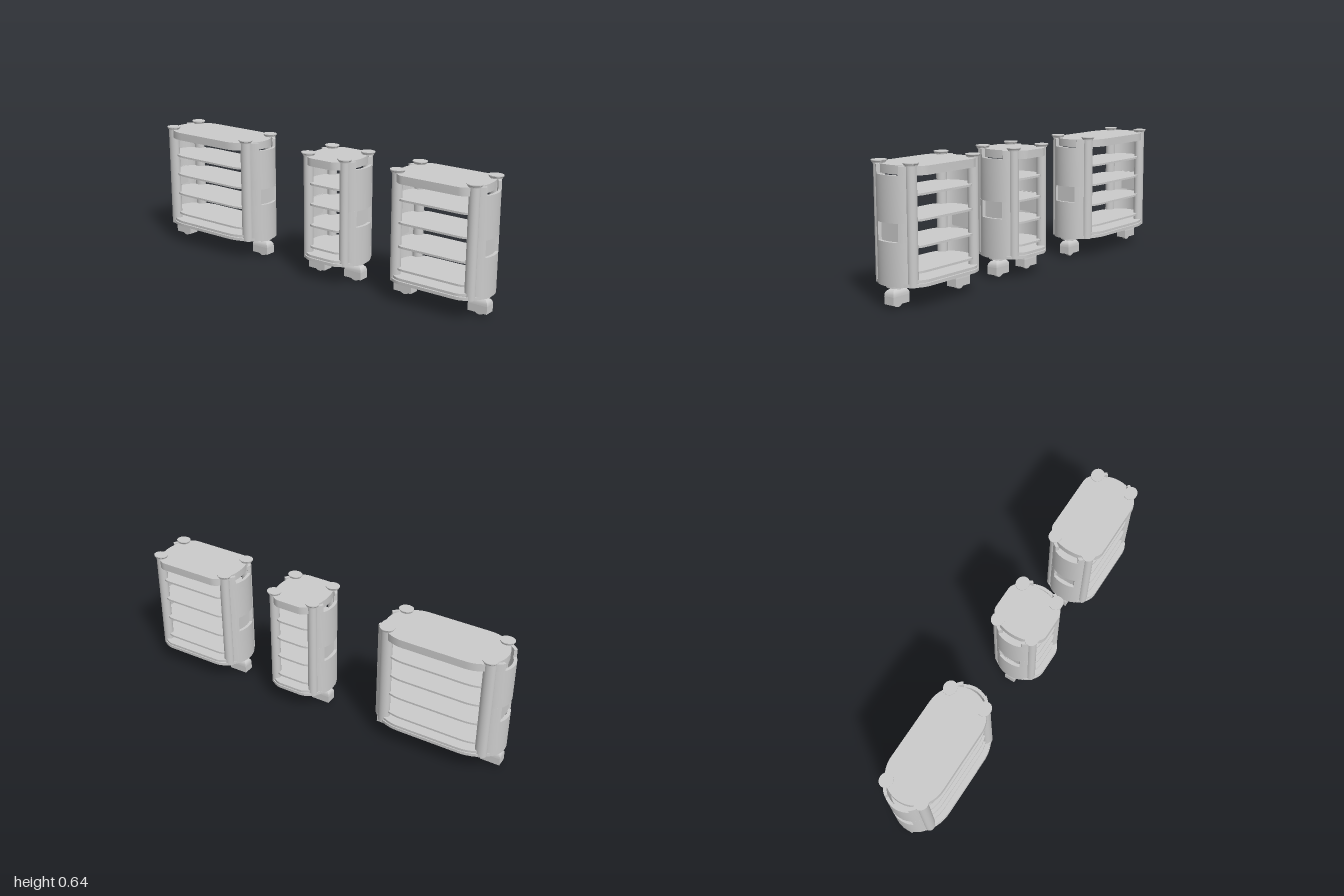
import * as THREE from 'three';
import { toCreasedNormals } from 'three/addons/utils/BufferGeometryUtils.js';

const material = new THREE.MeshStandardMaterial({ color: 0xcccccc });

function add(parent, name, geometry, x = 0, y = 0, z = 0) {
  const mesh = new THREE.Mesh(geometry, material);
  mesh.name = name;
  mesh.position.set(x, y, z);
  parent.add(mesh);
  return mesh;
}

// Extrudes a plan outline upward from y0 to y1
function slab(shape, y0, y1) {
  const g = new THREE.ExtrudeGeometry(shape, { depth: y1 - y0, bevelEnabled: false, curveSegments: 20 });
  g.rotateX(-Math.PI / 2).translate(0, y0, 0);
  return toCreasedNormals(g, 0.5);
}

// Long oval: straight sides with an elliptical end at each side
function ovalShape(straight, endX, halfZ) {
  const points = [];
  for (const end of [0, 1]) {
    for (let i = 0; i <= 24; i++) {
      const t = -Math.PI / 2 + Math.PI * (i / 24 + end);
      points.push(new THREE.Vector2(
        (end ? -straight : straight) + (endX - straight) * Math.cos(t), halfZ * Math.sin(t)));
    }
  }
  return new THREE.Shape(points);
}

// Section of a curved wall, between angles t0 and t1
function wallShape(depth, t0, t1, thick = 0.016) {
  const outer = [], inner = [], n = 16;
  for (let i = 0; i <= n; i++) {
    const t = t0 + (t1 - t0) * i / n;
    outer.push(new THREE.Vector2(depth * Math.cos(t), 0.1 * Math.sin(t)));
    inner.unshift(new THREE.Vector2((depth - thick) * Math.cos(t), (0.1 - thick) * Math.sin(t)));
  }
  return new THREE.Shape([...outer, ...inner]);
}

// Curved end wall with a notch at the top and a recessed grip in the middle
function endPanel(depth) {
  const panel = new THREE.Group();
  panel.name = 'endPanel';
  const q = Math.PI / 2, grip = 0.64, notch = 0.707;
  add(panel, 'lowerWall', slab(wallShape(depth, -q, q), 0.103, 0.30));
  add(panel, 'upperWall', slab(wallShape(depth, -q, q), 0.383, 0.59));
  for (const [a, b] of [[-1, 0], [0, 1]]) {
    const range = (edge) => (a < 0 ? [-q, -edge] : [edge, q]);
    add(panel, 'gripSide', slab(wallShape(depth, ...range(grip)), 0.30, 0.383));
    add(panel, 'notchSide', slab(wallShape(depth, ...range(notch)), 0.59, 0.63));
  }
  add(panel, 'gripBack', new THREE.BoxGeometry(0.006, 0.1, 0.13), depth - 0.027, 0.3415, 0);
  return panel;
}

function caster() {
  const group = new THREE.Group();
  group.name = 'caster';
  add(group, 'mount', new THREE.CylinderGeometry(0.047, 0.047, 0.011, 28), 0, 0.098, 0);
  add(group, 'neck', new THREE.CylinderGeometry(0.02, 0.02, 0.012, 20), 0, 0.088, 0);
  // Hollow skirt around the wheel
  const skirt = new THREE.Shape([[-0.05, -0.028], [0.05, -0.028], [0.05, 0.028], [-0.05, 0.028]]
    .map((p) => new THREE.Vector2(...p)));
  skirt.holes.push(new THREE.Path([[-0.04, -0.019], [-0.04, 0.019], [0.04, 0.019], [0.04, -0.019]]
    .map((p) => new THREE.Vector2(...p))));
  add(group, 'skirt', slab(skirt, 0.018, 0.055));
  // Rounded hood, with rounded shoulders along both directions
  const rings = [[0.055, 0], [0.065, 0.001], [0.073, 0.004], [0.08, 0.01], [0.085, 0.018]];
  const hood = new THREE.BoxGeometry(0.1, 1, 0.056, 1, rings.length - 1, 1);
  const p = hood.attributes.position;
  for (let i = 0; i < p.count; i++) {
    const [y, inset] = rings[Math.round((p.getY(i) + 0.5) * (rings.length - 1))];
    p.setXYZ(i, Math.sign(p.getX(i)) * (0.05 - inset), y,
      Math.sign(p.getZ(i)) * (0.028 - inset * 0.8));
  }
  add(group, 'hood', toCreasedNormals(hood, 0.6));
  const wheel = new THREE.CylinderGeometry(0.032, 0.032, 0.014, 28);
  add(group, 'wheel', wheel.rotateX(Math.PI / 2), 0, 0.032, 0);
  return group;
}

// Corner post with a flared cap
function post(rx) {
  const group = new THREE.Group();
  group.name = 'cornerPost';
  add(group, 'post', new THREE.CylinderGeometry(0.024, 0.024, 0.527, 28), 0, 0.3665, 0)
    .scale.x = rx / 0.024;
  const profile = [[0, 0.628], [0.026, 0.628], [0.026, 0.633], [0.029, 0.634], [0.031, 0.639],
    [0.033, 0.641], [0.033, 0.645], [0, 0.645]].map((q) => new THREE.Vector2(...q));
  add(group, 'cap', toCreasedNormals(new THREE.LatheGeometry(profile, 28), 0.5)).scale.x = 1.13;
  return group;
}

function cart({ x, half, postX, postR, shelves }) {
  const group = new THREE.Group();
  group.name = 'cart';
  group.position.x = x;
  const topEnd = half - 0.034;
  const straight = (postX - 0.679 * topEnd) / 0.321;

  add(group, 'topPlate', slab(ovalShape(straight, topEnd, 0.143), 0.59, 0.63));
  const base = ovalShape(straight, half - 0.004, 0.143);
  add(group, 'basePlate', slab(base, 0.104, 0.119));
  add(group, 'baseCore', slab(ovalShape(straight, half - 0.015, 0.133), 0.119, 0.123));
  add(group, 'baseTray', slab(ovalShape(straight, half - 0.02, 0.143), 0.123, 0.135));
  for (const y of shelves) {
    add(group, 'shelf', slab(ovalShape(straight, half - 0.022, 0.118), y - 0.005, y + 0.005));
  }

  for (const side of [1, -1]) {
    const panel = endPanel(half - postX);
    panel.position.x = side * postX;
    if (side < 0) panel.rotation.y = Math.PI;
    group.add(panel);

    const wheel = caster();
    wheel.position.x = side * (half - 0.058);
    group.add(wheel);

    for (const z of [0.096, -0.096]) {
      const corner = post(postR);
      corner.position.set(side * postX, 0, z);
      group.add(corner);
    }
  }
  return group;
}

export function createModel() {
  const model = new THREE.Group();
  model.name = 'storageCarts';
  model.add(
    cart({ x: -0.658, half: 0.342, postX: 0.26, postR: 0.03, shelves: [0.49, 0.385, 0.277, 0.165] }),
    cart({ x: 0.123, half: 0.17, postX: 0.11, postR: 0.024, shelves: [0.49, 0.385, 0.277, 0.165] }),
    cart({ x: 0.737, half: 0.263, postX: 0.202, postR: 0.026, shelves: [0.505, 0.393, 0.277, 0.165] }));
  return model;
}
